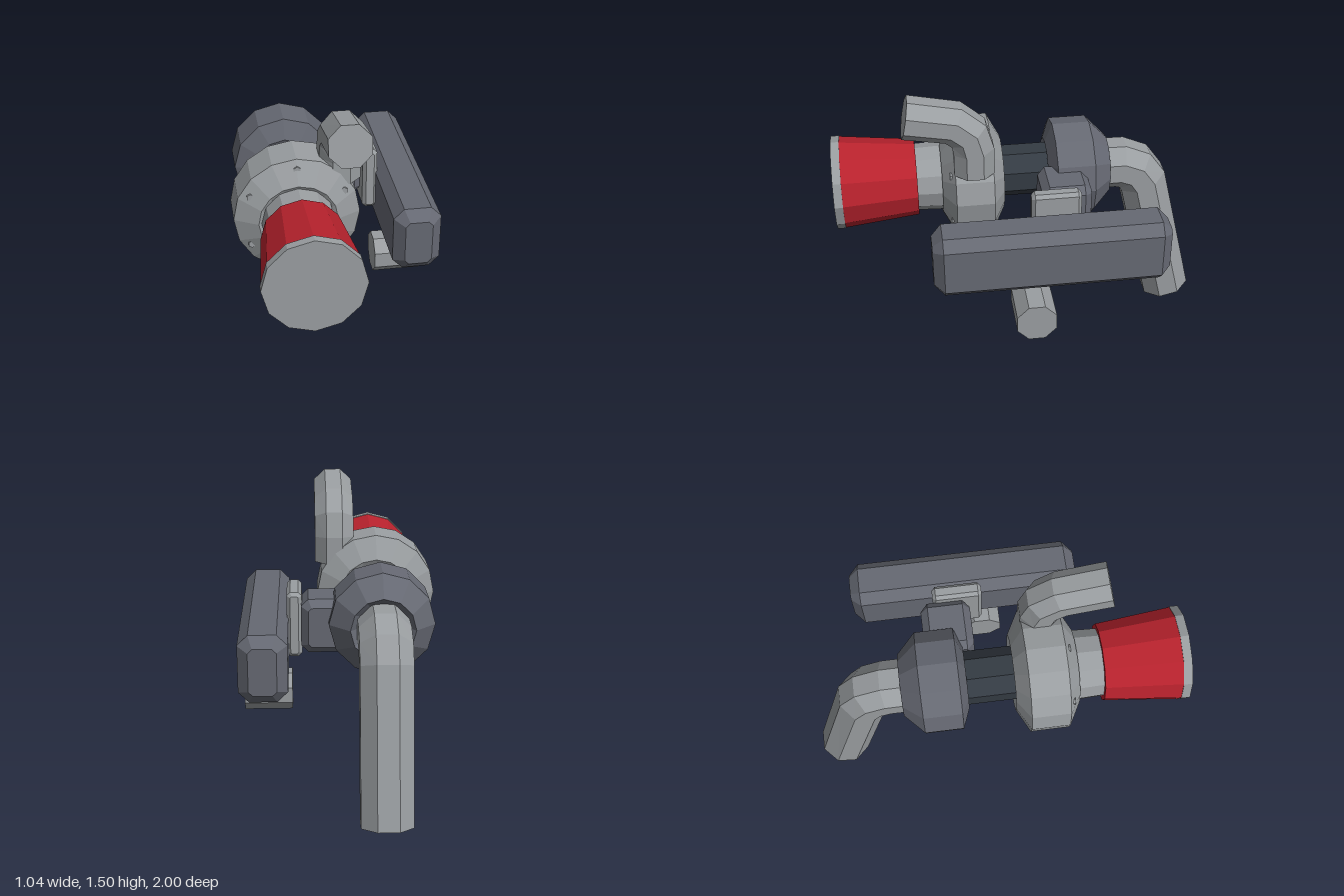
import * as THREE from 'three';

const mat = (name, color) => Object.assign(new THREE.MeshStandardMaterial({ color }), { name });

// Faceted normals for the low-poly look
function facet(geo) {
  const g = geo.index ? geo.toNonIndexed() : geo;
  g.computeVertexNormals();
  return g;
}

// Octagonal pipe along [y, z] points in the plane x = const
function pipe(x, apothem, pts) {
  const sides = 8, r = apothem / Math.cos(Math.PI / 8);
  const path = pts.map(([y, z]) => new THREE.Vector3(x, y, z));
  const xAxis = new THREE.Vector3(1, 0, 0), pos = [], idx = [];
  path.forEach((p, i) => {
    const dirIn = p.clone().sub(path[Math.max(i - 1, 0)]).normalize();
    const dirOut = path[Math.min(i + 1, path.length - 1)].clone().sub(p).normalize();
    const n = dirIn.add(dirOut).normalize().cross(xAxis);
    for (let j = 0; j < sides; j++) {
      const a = (j + 0.5) * Math.PI * 2 / sides;
      const v = p.clone().addScaledVector(xAxis, r * Math.cos(a)).addScaledVector(n, r * Math.sin(a));
      pos.push(v.x, v.y, v.z);
    }
  });
  const last = (path.length - 1) * sides, c0 = path.length * sides;
  for (const p of [path[0], path[path.length - 1]]) pos.push(p.x, p.y, p.z);
  for (let j = 0; j < sides; j++) {
    const k = (j + 1) % sides;
    for (let o = 0; o < last; o += sides) {
      idx.push(o + j, o + k, o + sides + j, o + k, o + sides + k, o + sides + j);
    }
    idx.push(c0, k, j, c0 + 1, last + j, last + k);
  }
  const g = new THREE.BufferGeometry();
  g.setAttribute('position', new THREE.Float32BufferAttribute(pos, 3));
  g.setIndex(idx);
  return facet(g);
}

// Box with every edge chamfered, given by its [min, max] ranges
function chamferBox([x0, x1], [y0, y1], [z0, z1], c) {
  const w = (x1 - x0) / 2, h = (y1 - y0) / 2;
  const shape = new THREE.Shape([
    [w, -h + c], [w, h - c], [w - c, h], [-w + c, h],
    [-w, h - c], [-w, -h + c], [-w + c, -h], [w - c, -h],
  ].map(([x, y]) => new THREE.Vector2(x, y)));
  const g = new THREE.ExtrudeGeometry(shape, {
    depth: z1 - z0 - 2 * c, bevelEnabled: true, bevelSegments: 1,
    bevelSize: c, bevelThickness: c, bevelOffset: -c,
  });
  g.translate((x0 + x1) / 2, (y0 + y1) / 2, z0 + c);
  return facet(g);
}

// Ring housing turned about z, from a closed [radius, z] profile
function ring(profile, sides) {
  const pts = [...profile, profile[0]].map(([r, z]) => new THREE.Vector2(r, z));
  return facet(new THREE.LatheGeometry(pts, sides).rotateX(Math.PI / 2));
}

// Round section along z
function drum(r0, r1, z0, z1, sides, turn = 0) {
  const g = new THREE.CylinderGeometry(r1, r0, z1 - z0, sides);
  return facet(g.rotateY(turn).rotateX(Math.PI / 2).translate(0, 0, (z0 + z1) / 2));
}

export function createModel() {
  const lightMetal = mat('light metal', 0x9a9ea1);
  const darkMetal = mat('dark metal', 0x666973);
  const shaftMetal = mat('shaft metal', 0x343b43);
  const red = mat('red', 0xb8222d);

  const model = new THREE.Group();
  const add = (parent, name, geo, material) => {
    const m = new THREE.Mesh(geo, material);
    m.name = name;
    parent.add(m);
    return m;
  };

  // Rotating core and intake, all on one axis
  const core = new THREE.Group();
  core.name = 'core';
  core.position.set(-0.2, 0.905, 0);
  model.add(core);

  add(core, 'frontHousing', ring([
    [0.08, 0.165], [0.2, 0.1], [0.32, 0.165], [0.32, 0.365], [0.2, 0.43], [0.08, 0.365],
  ], 16), lightMetal);
  add(core, 'rearHousing', ring([
    [0.07, -0.38], [0.165, -0.48], [0.27, -0.38], [0.27, -0.18], [0.165, -0.14], [0.07, -0.18],
  ], 12), darkMetal);
  add(core, 'centreShaft', drum(0.14, 0.14, -0.3, 0.26, 8, Math.PI / 8), shaftMetal);
  add(core, 'intakeNeck', drum(0.19, 0.18, 0.3, 0.565, 12), lightMetal);
  add(core, 'intakeSleeve', drum(0.205, 0.247, 0.56, 0.96, 12), red);
  add(core, 'intakeRim', drum(0.25, 0.25, 0.955, 1.0, 12), lightMetal);

  // Bolts around the front housing
  for (let i = 0; i < 6; i++) {
    const a = i * Math.PI / 3;
    const bolt = add(core, 'housingBolt', drum(0.02, 0.02, 0.35, 0.392, 6), lightMetal);
    bolt.position.set(0.27 * Math.sin(a), 0.27 * Math.cos(a), 0);
    bolt.rotation.z = -a;
  }

  // Bent pipes
  add(model, 'outletPipe', pipe(0.025, 0.105, [
    [1.065, 0.265], [1.2, 0.265], [1.29, 0.288], [1.355, 0.365], [1.403, 0.61],
  ]), lightMetal);
  add(model, 'exhaustPipe', pipe(-0.2, 0.13, [
    [0.905, -0.4], [0.905, -0.56], [0.872, -0.64], [0.8, -0.69], [0.037, -0.873],
  ]), lightMetal);

  // Side bracket, plate and long manifold
  add(model, 'sideBracket', chamferBox([-0.07, 0.21], [0.73, 1.015], [-0.335, -0.075], 0.038), darkMetal);
  add(model, 'mountPlate', chamferBox([0.205, 0.283], [0.69, 1.037], [-0.265, -0.005], 0.018), lightMetal);
  add(model, 'manifold', chamferBox([0.275, 0.52], [0.602, 0.95], [-0.7, 0.52], 0.053), darkMetal);

  // Short canister lying across under the manifold
  const canister = drum(0.1125, 0.1125, -0.13, 0.13, 8, Math.PI / 8).rotateY(Math.PI / 2);
  add(model, 'canister', canister, lightMetal).position.set(0.39, 0.408, 0);

  return model;
}
